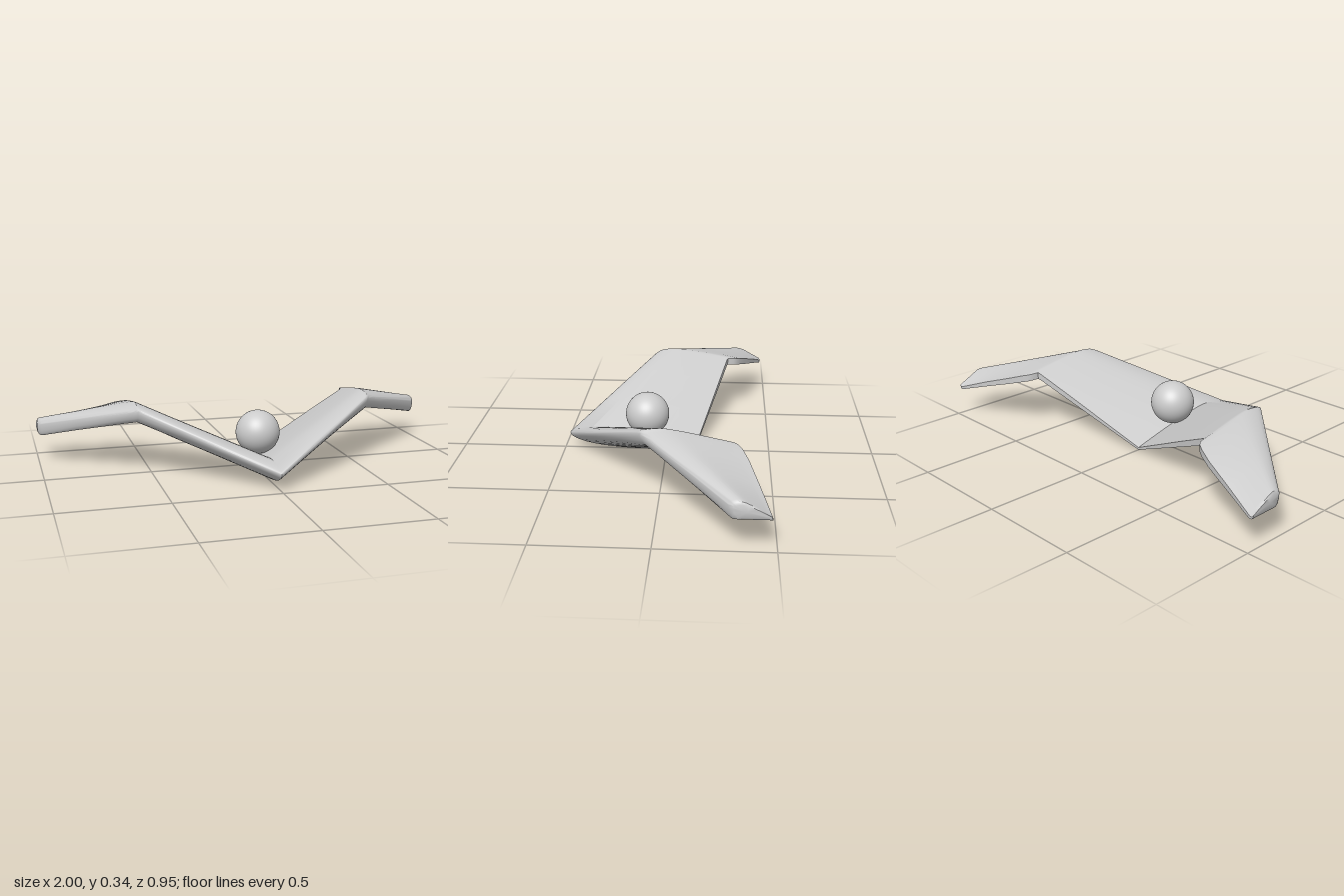
import * as THREE from 'three';
import { toCreasedNormals } from 'three/addons/utils/BufferGeometryUtils.js';

// Span stations: x, leading z, trailing z, underside y, thickness, trailing thickness, underside rounding
const STATIONS = [
  [0, 0.475, -0.14, 0, 0.11, 0.012, 0.6],
  [0.2, 0.338, -0.193, 0.09, 0.101, 0.02, 0.45],
  [0.4, 0.201, -0.246, 0.18, 0.092, 0.028, 0.28],
  [0.555, 0.092, -0.287, 0.25, 0.086, 0.032, 0.14],
  [0.568, 0.081, -0.292, 0.255, 0.085, 0.033, 0.13],
  [0.575, 0.074, -0.325, 0.253, 0.084, 0.033, 0.12],
  [0.588, 0.062, -0.341, 0.249, 0.084, 0.033, 0.12],
  [0.615, 0.037, -0.358, 0.242, 0.084, 0.033, 0.12],
  [0.68, -0.023, -0.385, 0.223, 0.084, 0.03, 0.12],
  [0.83, -0.161, -0.43, 0.18, 0.084, 0.024, 0.12],
  [0.982, -0.3, -0.475, 0.135, 0.086, 0.014, 0.12],
  [0.995, -0.312, -0.477, 0.14, 0.076, 0.009, 0.14],
  [1, -0.32, -0.474, 0.149, 0.056, 0.006, 0.2],
];
const N = 14; // points on each side of the section

// Closed section: nose, over the top to the trailing edge, back along the underside
function section([x, zl, zt, yb, h, te, r]) {
  const pts = [];
  const chord = zl - zt, nose = 0.7 * h, peak = 0.27;
  for (let i = 0; i <= N; i++) {
    const s = (i / N) ** 2;
    let y;
    if (s < peak) {
      y = nose + (h - nose) * Math.sqrt(1 - (1 - s / peak) ** 2);
    } else {
      const t = (s - peak) / (1 - peak);
      y = h + (te - h) * t ** 1.25;
    }
    pts.push([x, yb + y, zl - s * chord]);
  }
  for (let i = N; i > 0; i--) {
    const s = (i / N) ** 2;
    const t = Math.min(1, s / r);
    pts.push([x, yb + nose * (1 - Math.sqrt(1 - (1 - t) ** 2)), zl - s * chord]);
  }
  return pts;
}

// Skin the mirrored sections from tip to tip
function wingGeometry() {
  const right = STATIONS.slice(1).reverse().map(([x, ...rest]) => [-x, ...rest]);
  const rings = [...right, ...STATIONS].map(section);
  const m = rings[0].length, last = rings.length - 1;
  const positions = rings.flat(2), index = [];
  for (let i = 0; i < last; i++) {
    for (let j = 0; j < m; j++) {
      const k = (j + 1) % m;
      const a = i * m + j, b = a + m, c = (i + 1) * m + k, d = i * m + k;
      index.push(a, b, c, a, c, d);
    }
  }
  // Tip caps
  for (const [i, flip] of [[0, false], [last, true]]) {
    const centre = positions.length / 3;
    const sum = rings[i].reduce((s, p) => s.map((v, n) => v + p[n] / m), [0, 0, 0]);
    positions.push(...sum);
    for (let j = 0; j < m; j++) {
      const a = i * m + j, b = i * m + ((j + 1) % m);
      index.push(centre, flip ? b : a, flip ? a : b);
    }
  }
  const geometry = new THREE.BufferGeometry();
  geometry.setAttribute('position', new THREE.Float32BufferAttribute(positions, 3));
  geometry.setIndex(index);
  return toCreasedNormals(geometry, 0.7);
}

export function createModel() {
  const model = new THREE.Group();
  model.name = 'flyingWing';
  const material = new THREE.MeshStandardMaterial({ color: 0xcccccc });

  // Gull-shaped wing with drooping outer panels
  const wing = new THREE.Mesh(wingGeometry(), material);
  wing.name = 'wing';

  // Ball resting in the central valley
  const ball = new THREE.Mesh(new THREE.SphereGeometry(0.105, 48, 32), material);
  ball.name = 'cockpitBall';
  ball.position.set(0, 0.185, 0.093);

  model.add(wing, ball);
  return model;
}
